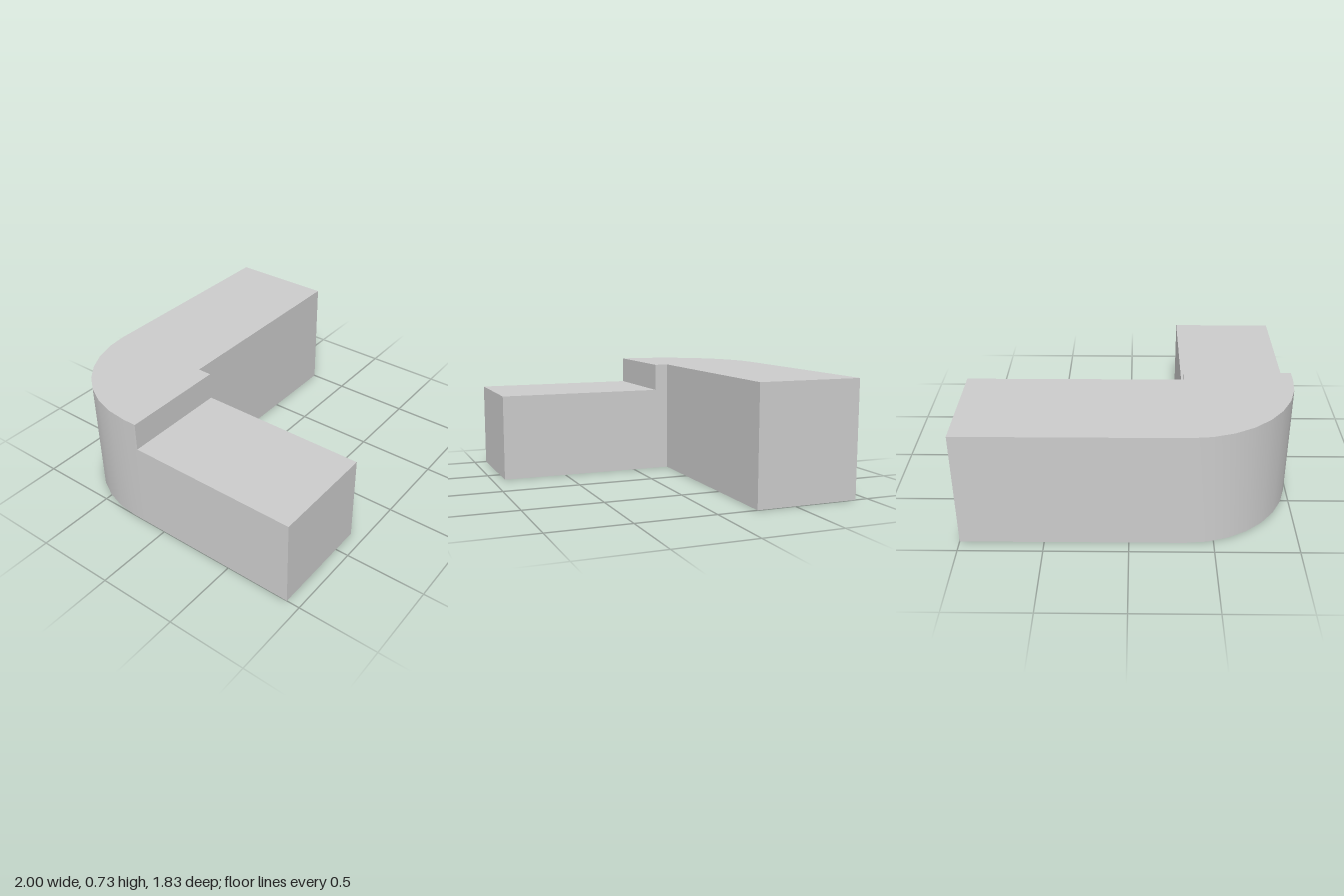
import * as THREE from 'three';
import { toCreasedNormals } from 'three/addons/utils/BufferGeometryUtils.js';

const BACK = -0.917, FRONT = 0.917;   // z extents
const INNER_X = -0.333, INNER_Z = -0.252;   // inside corner of the L
const STEP_Z = -0.162;   // where the tall part drops to the low leg
const TALL = 0.733, LOW = 0.557;

export function createModel() {
  const group = new THREE.Group();
  const material = new THREE.MeshStandardMaterial({ color: 0xcccccc });

  // Tall arm with rounded outer corner; plan drawn as (x, -z) and extruded upwards
  const plan = new THREE.Shape();
  plan.moveTo(1, -BACK);
  plan.lineTo(INNER_X, -BACK);
  plan.absellipse(INNER_X, -INNER_Z, 1 + INNER_X, INNER_Z - BACK, Math.PI / 2, Math.PI, false);
  plan.lineTo(-1, -STEP_Z);
  plan.lineTo(INNER_X, -STEP_Z);
  plan.lineTo(INNER_X, -INNER_Z);
  plan.lineTo(1, -INNER_Z);
  plan.closePath();
  const tall = new THREE.ExtrudeGeometry(plan, { depth: TALL, bevelEnabled: false, curveSegments: 4 });
  tall.rotateX(-Math.PI / 2);
  const arm = new THREE.Mesh(toCreasedNormals(tall, 0.5), material);
  arm.name = 'tallCornerArm';
  group.add(arm);

  // Low straight leg running to the front
  const leg = new THREE.Mesh(new THREE.BoxGeometry(1 + INNER_X, LOW, FRONT - STEP_Z), material);
  leg.position.set((INNER_X - 1) / 2, LOW / 2, (FRONT + STEP_Z) / 2);
  leg.name = 'lowLeg';
  group.add(leg);

  return group;
}
